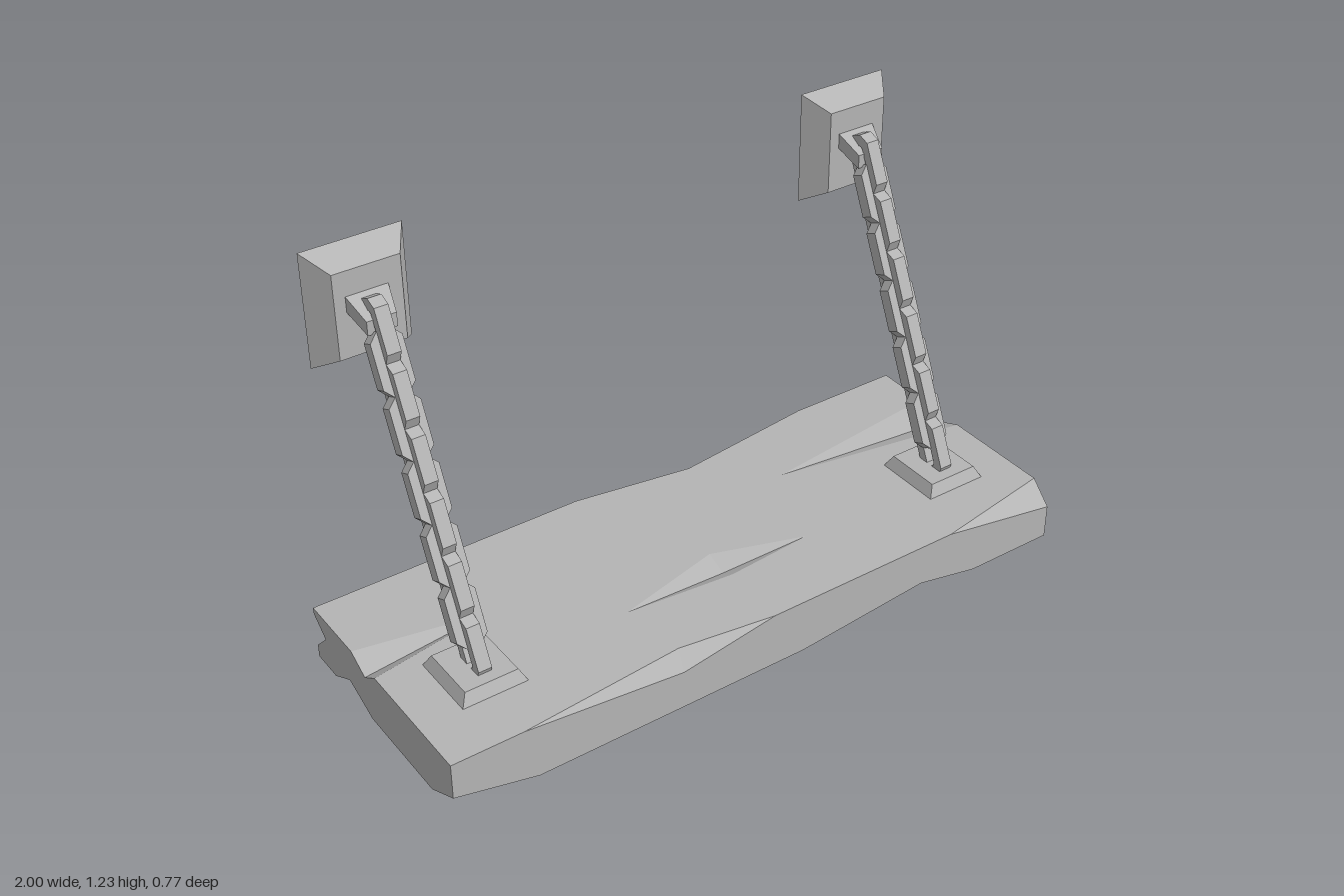
import * as THREE from 'three';

const stone = new THREE.MeshStandardMaterial({ color: 0xb4b4b4 });
stone.name = 'grey';

const faceted = (g) => {
  const f = g.index ? g.toNonIndexed() : g;
  f.computeVertexNormals();
  return f;
};

function part(name, geometry, parent, x = 0, y = 0, z = 0) {
  const mesh = new THREE.Mesh(geometry, stone);
  mesh.name = name;
  mesh.position.set(x, y, z);
  parent.add(mesh);
  return mesh;
}

// Box whose +z end is scaled and optionally dropped
function taperedBox(w, h, d, sx, sy, drop = 0) {
  const g = new THREE.BoxGeometry(w, h, d);
  const p = g.attributes.position;
  for (let i = 0; i < p.count; i++) {
    if (p.getZ(i) > 0) p.setXY(i, p.getX(i) * sx, p.getY(i) * sy - drop);
  }
  return faceted(g);
}

// Weathered plank: flat faces with chipped edges, end grooves and a top pit
function plankGeometry() {
  const T = 0.17, F = 0.385, B = -0.36;
  const out = [];
  const v = (x, y, z) => new THREE.Vector3(x, y, z);
  const up = v(0, 1, 0), down = v(0, -1, 0), front = v(0, 0, 1), back = v(0, 0, -1);

  // Fill a polygon, facing the given axis
  function fill(points, dir, hole = []) {
    const flat = (p) => dir.x ? new THREE.Vector2(p.y, p.z)
      : dir.y ? new THREE.Vector2(p.x, p.z) : new THREE.Vector2(p.x, p.y);
    const all = points.concat(hole);
    const tris = THREE.ShapeUtils.triangulateShape(points.map(flat), hole.length ? [hole.map(flat)] : []);
    for (const [i, j, k] of tris) {
      const a = all[i], b = all[j], c = all[k];
      const n = b.clone().sub(a).cross(c.clone().sub(a));
      for (const p of n.dot(dir) > 0 ? [a, b, c] : [a, c, b]) out.push(p.x, p.y, p.z);
    }
  }

  // Corners: left/right, top/bottom, front/back
  const LTF = v(-1, T, F), LTB = v(-1, T, B), RTB = v(1, T, B);
  const RBF = v(1, 0, F), RBB = v(1, 0, B), LBB = v(-1, 0, B);

  // Edge chips: start, end, point on the flat side, point on the upright side
  const frontChip = [v(-0.79, T, F), v(0, T, F), v(-0.29, T, 0.345), v(-0.3, 0.12, F)];
  const backChip = [v(0.65, T, B), v(-0.16, T, B), v(0.2, T, -0.305), v(0.2, 0.115, B)];
  const lowChip = [v(0.1, 0, F), v(0.72, 0, F), v(0.52, 0, 0.335), v(0.52, 0.04, F)];
  // Corner chips
  const topCorner = [v(0.62, T, F), v(1, 0.105, F), v(1, T, 0.32)];
  const lowCorner = [v(-0.75, 0, F), v(-1, 0.06, F), v(-1, 0, 0.27)];
  // End grooves: side, bottom, side, inner tip
  const rightTop = [v(1, T, -0.02), v(1, 0.14, -0.095), v(1, T, -0.19), v(0.4, T, -0.12)];
  const leftTop = [v(-1, T, -0.01), v(-1, 0.13, -0.07), v(-1, T, -0.14), v(-0.63, T, -0.07)];
  const rightLow = [v(1, 0, 0.11), v(1, 0.04, 0.015), v(1, 0, -0.18), v(0.07, 0, -0.01)];
  const leftLow = [v(-1, 0, -0.26), v(-1, 0.05, -0.17), v(-1, 0, -0.05), v(-0.55, 0, -0.215)];
  const backEnd = [v(-1, 0.15, B), v(-1, 0.1, -0.3), v(-1, 0.04, B), v(-0.63, 0.1, B)];
  // Top pit
  const pit = [v(-0.32, T, 0.145), v(0.01, T, 0.065), v(0.28, T, 0.155), v(0.01, T, 0.175)];
  const pitLow = v(0.01, 0.145, 0.13);

  for (const [chip, dir] of [[frontChip, up], [backChip, up], [lowChip, down]]) {
    const [a, b, t, f] = chip;
    fill([a, f, t], dir);
    fill([f, b, t], dir);
  }
  fill(topCorner, up);
  fill(lowCorner, down);
  for (const [groove, dir] of [[rightTop, up], [leftTop, up], [rightLow, down], [leftLow, down], [backEnd, back]]) {
    const [a, m, b, tip] = groove;
    fill([a, m, tip], dir);
    fill([m, b, tip], dir);
  }
  pit.forEach((p, i) => fill([p, pit[(i + 1) % 4], pitLow], up));

  // Main faces: edge passes around a chip or groove
  const flatSide = ([a, b, t]) => [a, t, b];
  const upright = ([a, b, , f]) => [a, f, b];
  const reversed = (list) => list.slice().reverse();
  const mouth = ([a, m, b]) => [a, m, b];
  const tipSide = ([a, , b, tip]) => [a, tip, b];

  fill([LTF, ...flatSide(frontChip), topCorner[0], topCorner[2], ...tipSide(rightTop), RTB,
    ...flatSide(backChip), LTB, ...reversed(tipSide(leftTop))], up, pit);
  fill([lowCorner[0], ...flatSide(lowChip), RBF, ...tipSide(rightLow), RBB, LBB,
    ...tipSide(leftLow), lowCorner[2]], down);
  fill([LTF, ...upright(frontChip), topCorner[0], topCorner[1], RBF,
    ...reversed(upright(lowChip)), lowCorner[0], lowCorner[1]], front);
  fill([RTB, ...upright(backChip), LTB, ...tipSide(backEnd), LBB, RBB], back);
  fill([topCorner[1], topCorner[2], ...mouth(rightTop), RTB, RBB,
    ...reversed(mouth(rightLow)), RBF], v(1, 0, 0));
  fill([LTF, ...mouth(leftTop), LTB, ...mouth(backEnd), LBB, ...mouth(leftLow),
    lowCorner[2], lowCorner[1]], v(-1, 0, 0));

  const g = new THREE.BufferGeometry();
  g.setAttribute('position', new THREE.Float32BufferAttribute(out, 3));
  return faceted(g);
}

// Chunky eight-sided chain link lying in the xy plane
function linkGeometry() {
  const octagon = (w, h, c) => [[w, h - c], [w - c, h], [c - w, h], [-w, h - c],
    [-w, c - h], [c - w, -h], [w - c, -h], [w, c - h]].map(([x, y]) => new THREE.Vector2(x, y));
  const shape = new THREE.Shape(octagon(0.045, 0.086, 0.025));
  shape.holes.push(new THREE.Path(octagon(0.016, 0.055, 0.008)));
  const g = new THREE.ExtrudeGeometry(shape, { depth: 0.04, bevelEnabled: false });
  g.translate(0, 0, -0.02);
  return faceted(g);
}

export function createModel() {
  const model = new THREE.Group();
  model.name = 'hangingShelf';
  part('plank', plankGeometry(), model);

  const foot = taperedBox(0.195, 0.21, 0.035, 0.81, 0.83);
  const wallPlate = taperedBox(0.29, 0.335, 0.075, 0.66, 0.74);
  const bracket = taperedBox(0.12, 0.045, 0.07, 0.7, 0.9, 0.042);
  const link = linkGeometry();
  const start = new THREE.Vector3(0, 0.255, 0.11), end = new THREE.Vector3(0, 1.03, -0.245);
  const lean = Math.atan2(end.z - start.z, end.y - start.y);

  for (const x of [-0.775, 0.78]) {
    const hanger = new THREE.Group();
    hanger.name = x < 0 ? 'rightHanger' : 'leftHanger';
    hanger.position.x = x;
    model.add(hanger);

    part('chainFoot', foot, hanger, 0, 0.1875, 0.12).rotation.x = -Math.PI / 2;
    part('wallPlate', wallPlate, hanger, 0.008, 1.058, -0.3475);
    part('wallBracket', bracket, hanger, 0.004, 1.088, -0.275);

    // Links alternate by a quarter turn along the leaning chain
    const chain = new THREE.Group();
    chain.name = 'chain';
    hanger.add(chain);
    for (let i = 0; i <= 10; i++) {
      const p = start.clone().lerp(end, i / 10);
      const mesh = part('chainLink', link, chain, p.x, p.y, p.z);
      mesh.rotation.set(lean, i % 2 ? 0 : Math.PI / 2, 0);
    }
  }
  return model;
}
